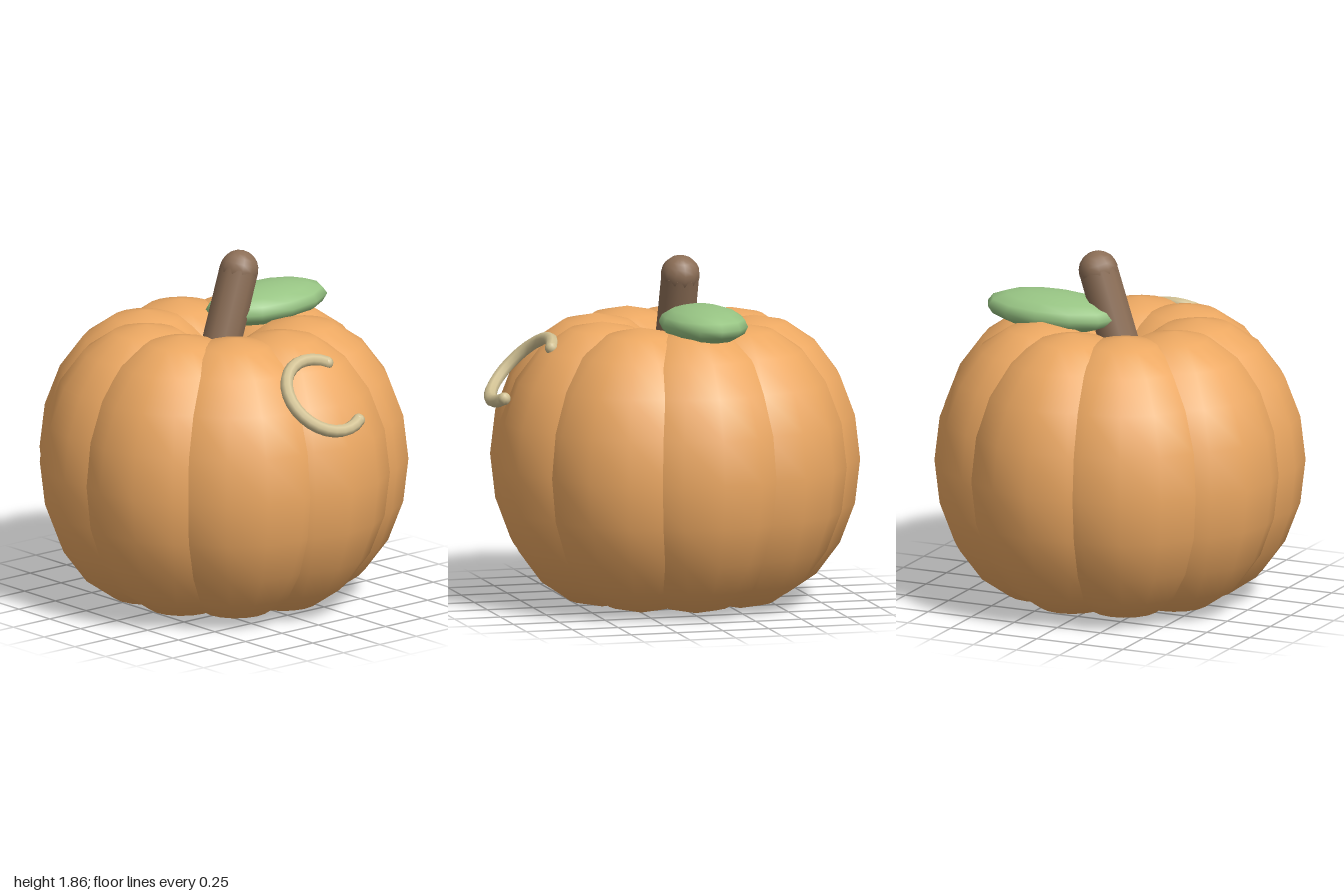
import * as THREE from 'three';

const paint = (color) => new THREE.MeshStandardMaterial({ color });

function add(parent, name, geometry, material, x = 0, y = 0, z = 0) {
  const mesh = new THREE.Mesh(geometry, material);
  mesh.name = name;
  mesh.position.set(x, y, z);
  parent.add(mesh);
  return mesh;
}

export function createModel() {
  const model = new THREE.Group();
  model.name = 'pumpkin';
  const orange = paint(0xeca862);
  const brown = paint(0x8c6e56);
  const green = paint(0x98c584);
  const cream = paint(0xd2c294);
  const cx = -0.012, cz = -0.022;

  // Body: nine overlapping upright ellipsoids around the axis
  const body = new THREE.Group();
  body.name = 'body';
  body.position.set(cx, 0.757, cz);
  model.add(body);
  const lobeGeometry = new THREE.SphereGeometry(1, 16, 10).scale(0.562, 0.757, 0.562);
  const lobes = 9, offset = 0.42;
  for (let i = 0; i < lobes; i++) {
    const a = (i / lobes) * Math.PI * 2;
    add(body, 'lobe', lobeGeometry, orange, Math.cos(a) * offset, 0, Math.sin(a) * offset);
  }

  // Stem: leaning cylinder with a rounded tip
  const stem = new THREE.Group();
  stem.name = 'stem';
  stem.position.set(0.107, 1.753, cz);
  stem.rotation.z = -0.31;
  model.add(stem);
  add(stem, 'stalk', new THREE.CylinderGeometry(0.104, 0.106, 0.58, 10), brown, 0, -0.29, 0);
  add(stem, 'stemTip', new THREE.SphereGeometry(0.104, 12, 10), brown);

  // Leaf: flattened ellipsoid resting beside the stem
  const leafGeometry = new THREE.SphereGeometry(1, 12, 8).scale(0.375, 0.1, 0.22);
  const leaf = add(model, 'leaf', leafGeometry, green, 0.345, 1.525, -0.08);
  leaf.rotation.z = 0.03;

  // Curled tendril: open ring with rounded ends, leaning back over the front
  const tendril = new THREE.Group();
  tendril.name = 'tendril';
  tendril.position.set(cx, 1.265, 0.812);
  tendril.rotation.x = -Math.PI / 4;
  model.add(tendril);
  const ring = 0.222, tube = 0.034, gap = THREE.MathUtils.degToRad(55);
  const curl = add(tendril, 'curl',
    new THREE.TorusGeometry(ring, tube, 8, 20, Math.PI * 2 - 2 * gap), cream);
  curl.rotation.z = gap;
  for (const side of [1, -1]) {
    add(tendril, 'tendrilEnd', new THREE.SphereGeometry(tube, 10, 8), cream,
      Math.cos(gap) * ring, side * Math.sin(gap) * ring, 0);
  }

  return model;
}
